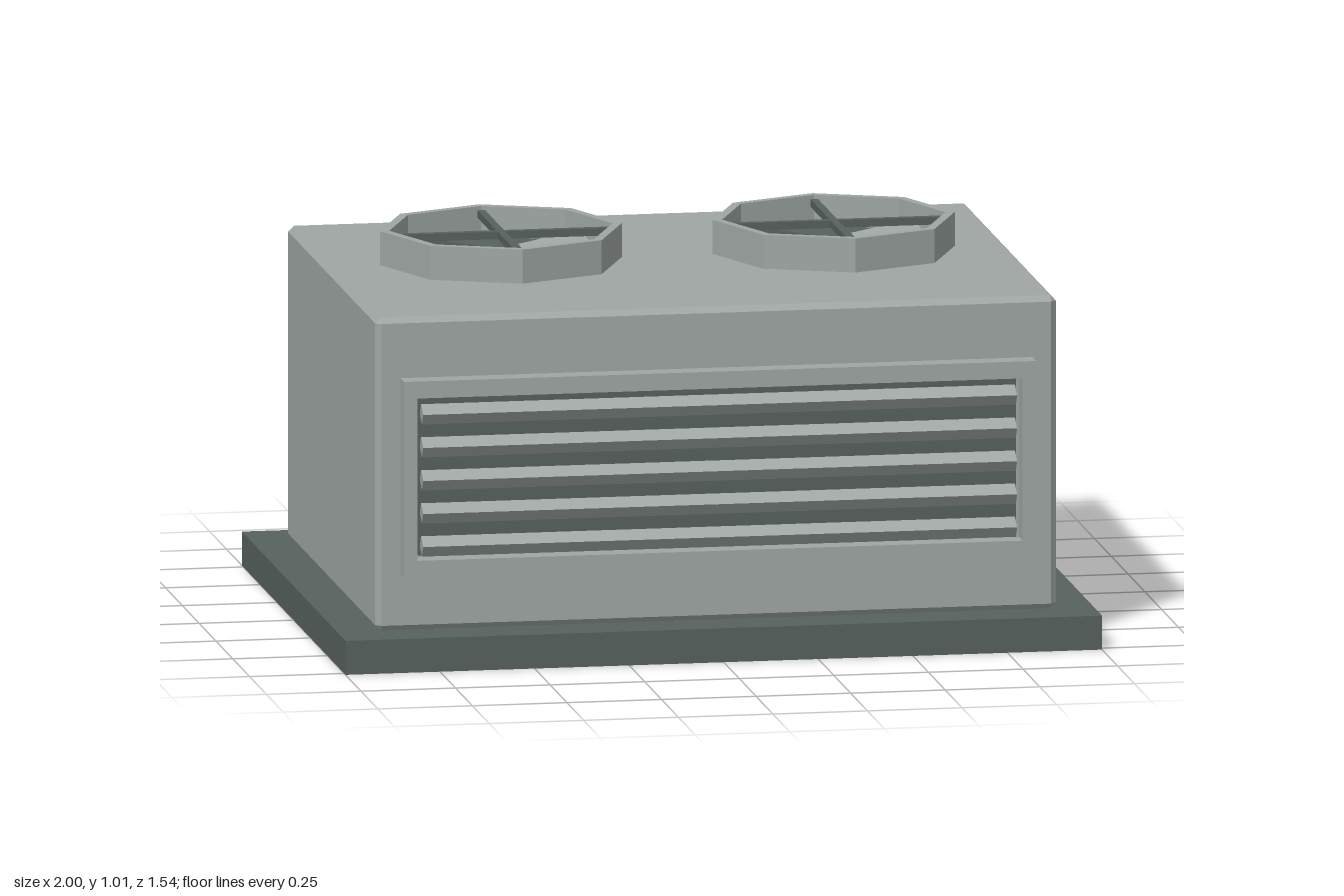
import * as THREE from 'three';
import { ConvexGeometry } from 'three/addons/geometries/ConvexGeometry.js';

const light = new THREE.MeshStandardMaterial({ color: 0x9fa6a3, flatShading: true });
const dark = new THREE.MeshStandardMaterial({ color: 0x56615d, flatShading: true });
const blade = new THREE.MeshStandardMaterial({ color: 0x9fa6a3, flatShading: true, side: THREE.DoubleSide });

function add(parent, name, geometry, material, x = 0, y = 0, z = 0) {
  const mesh = new THREE.Mesh(geometry, material);
  mesh.name = name;
  mesh.position.set(x, y, z);
  parent.add(mesh);
  return mesh;
}

const box = (w, h, d) => new THREE.BoxGeometry(w, h, d);

// Box with every edge and corner cut flat
function chamferedBox(w, h, d, c) {
  const points = [];
  for (const x of [-1, 1]) for (const y of [-1, 1]) for (const z of [-1, 1]) {
    const [X, Y, Z] = [x * w / 2, y * h / 2, z * d / 2];
    points.push(
      new THREE.Vector3(X, Y - y * c, Z - z * c),
      new THREE.Vector3(X - x * c, Y, Z - z * c),
      new THREE.Vector3(X - x * c, Y - y * c, Z));
  }
  return new ConvexGeometry(points);
}

const rectangle = (Type, w, h) => new Type([
  new THREE.Vector2(-w / 2, -h / 2), new THREE.Vector2(w / 2, -h / 2),
  new THREE.Vector2(w / 2, h / 2), new THREE.Vector2(-w / 2, h / 2)]);

function createGrille() {
  const grille = new THREE.Group();
  grille.name = 'frontGrille';
  grille.position.set(0, 0.5, 0.66);

  // Open frame and dark backing
  const frame = rectangle(THREE.Shape, 1.67, 0.52);
  frame.holes.push(rectangle(THREE.Path, 1.6, 0.43));
  add(grille, 'grilleFrame', new THREE.ExtrudeGeometry(frame, { depth: 0.055, bevelEnabled: false }), light);
  add(grille, 'grilleBacking', box(1.58, 0.42, 0.01), dark, 0, 0, 0.005);

  // Tilted slats
  for (let i = 0; i < 5; i++) {
    const slat = add(grille, 'slat', box(1.57, 0.035, 0.04), light, 0, -0.182 + i * 0.0875, 0.03);
    slat.rotation.x = 0.6;
  }
  return grille;
}

function createFan(x) {
  const fan = new THREE.Group();
  fan.name = x > 0 ? 'leftFan' : 'rightFan';
  fan.position.set(x, 0.92, -0.07);

  // Eight-sided open ring, with a vertex on each axis
  const profile = [[0.295, 0], [0.32, 0], [0.32, 0.09], [0.295, 0.09], [0.295, 0]]
    .map(([r, y]) => new THREE.Vector2(r, y));
  add(fan, 'fanRing', new THREE.LatheGeometry(profile, 8), light);
  add(fan, 'fanWell', new THREE.CylinderGeometry(0.295, 0.295, 0.01, 8), dark, 0, 0.005, 0);

  // Crossed guard bars
  add(fan, 'guardBar', box(0.58, 0.02, 0.02), dark, 0, 0.07, 0);
  add(fan, 'guardBar', box(0.02, 0.02, 0.58), dark, 0, 0.07, 0);

  // Three pitched blades that widen outwards
  const outline = new THREE.Shape([
    new THREE.Vector2(0.06, -0.02), new THREE.Vector2(0.26, -0.05),
    new THREE.Vector2(0.26, 0.06), new THREE.Vector2(0.06, 0.02)]);
  for (let i = 0; i < 3; i++) {
    const arm = new THREE.Group();
    arm.name = 'fanBlade';
    arm.rotation.y = -Math.PI * (103 + i * 120) / 180;
    const mesh = add(arm, 'bladeFace', new THREE.ShapeGeometry(outline), blade, 0, 0.03, 0);
    mesh.rotation.x = -Math.PI / 2 + 0.35;
    fan.add(arm);
  }
  return fan;
}

function createHandle() {
  const handle = new THREE.Group();
  handle.name = 'sideHandle';
  handle.position.set(0.9, 0.26, -0.4);

  // Round spindle
  const spindle = add(handle, 'handleSpindle', new THREE.CylinderGeometry(0.012, 0.012, 0.06, 12), light, 0.03, 0, 0);
  spindle.rotation.z = Math.PI / 2;

  // Flat lever with rounded ends, leaning outwards
  const shape = new THREE.Shape();
  shape.absarc(0, 0, 0.015, Math.PI, 2 * Math.PI);
  shape.absarc(0, 0.12, 0.015, 0, Math.PI);
  const geometry = new THREE.ExtrudeGeometry(shape, { depth: 0.008, bevelEnabled: false, curveSegments: 8 });
  geometry.rotateY(Math.PI / 2);
  const lever = add(handle, 'handleLever', geometry, light, 0.05, 0.005, 0);
  lever.rotation.z = -0.2;
  return handle;
}

export function createModel() {
  const model = new THREE.Group();
  model.name = 'rooftopUnit';
  add(model, 'base', box(2, 0.09, 1.54), dark, 0, 0.045, 0);
  add(model, 'housing', chamferedBox(1.8, 0.83, 1.32, 0.015), light, 0, 0.505, 0);
  model.add(createGrille(), createFan(-0.44), createFan(0.44), createHandle());
  return model;
}
